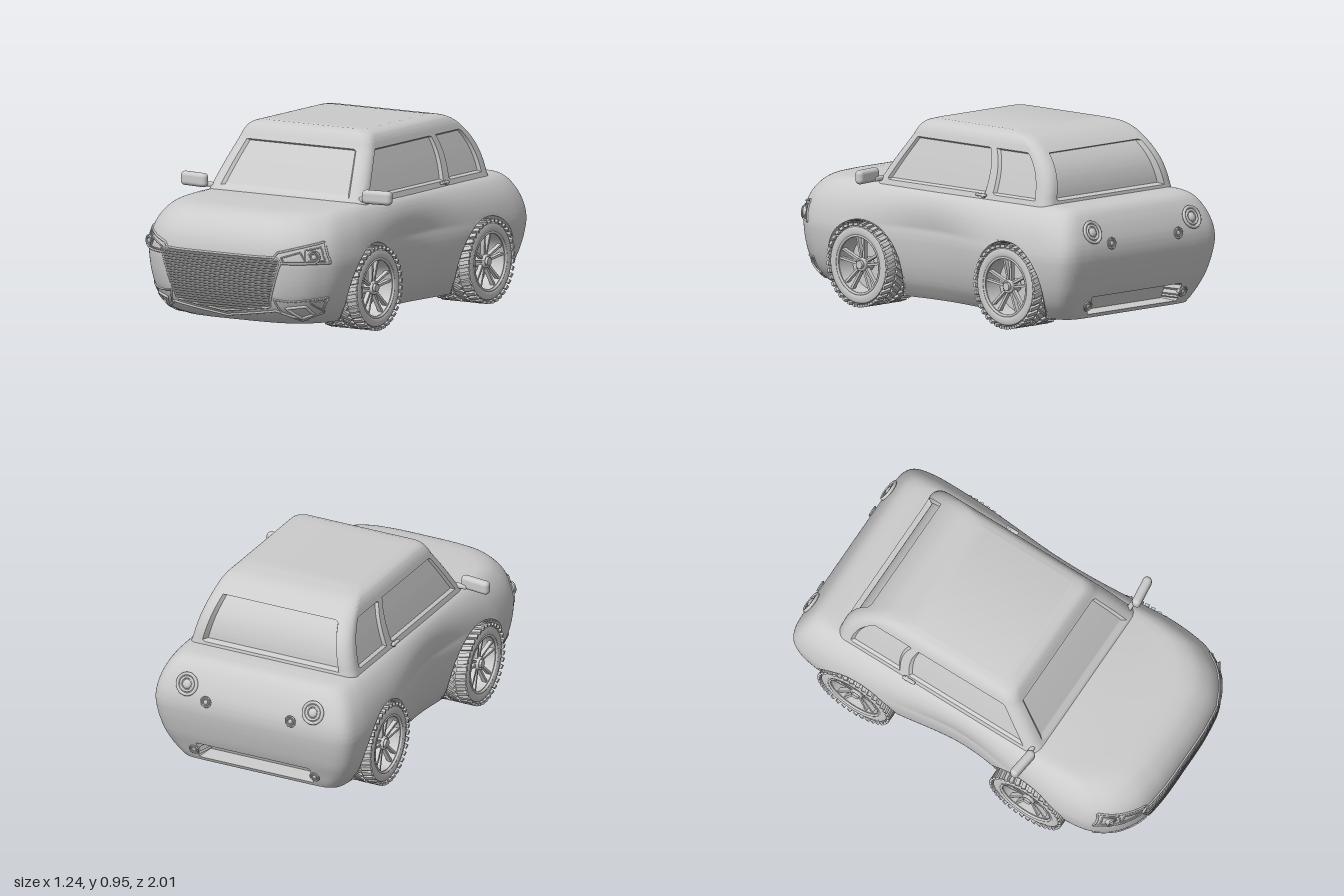
import * as THREE from 'three';
import { mergeGeometries, toCreasedNormals } from 'three/addons/utils/BufferGeometryUtils.js';
import { RoundedBoxGeometry } from 'three/addons/geometries/RoundedBoxGeometry.js';

const grey = new THREE.MeshStandardMaterial({ color: 0xcccccc });
const greyDouble = new THREE.MeshStandardMaterial({ color: 0xcccccc, side: THREE.DoubleSide });

const WHEELS = [0.42, -0.59], WHEEL_Y = 0.21, ARCH_R = 0.226;

// Smooth lookup through rows of [y, halfWidth, zFront, zRear]
function profile(rows) {
  const f = new THREE.CubicInterpolant(rows.map((_, i) => i), rows.flat(), 4, new Float32Array(4));
  return t => [...f.evaluate(t)];
}
const bodyRows = [
  [.06, .455, .82, -.9], [.09, .48, .9, -.915], [.14, .515, .945, -.935], [.2, .54, .97, -.96],
  [.26, .556, .982, -.978], [.32, .566, .988, -.992], [.38, .57, .99, -1], [.44, .562, .985, -.995],
  [.5, .545, .965, -.975], [.55, .52, .93, -.95], [.59, .488, .88, -.92], [.612, .455, .81, -.88], [.62, .42, .72, -.82]];
const cabinRows = [
  [.58, .468, .44, -.775], [.635, .452, .4, -.765], [.69, .438, .363, -.757], [.75, .422, .322, -.738],
  [.805, .406, .283, -.705], [.858, .39, .245, -.655], [.9, .375, .222, -.6], [.93, .35, .197, -.535], [.945, .305, .155, -.44]];
const bodyAt = profile(bodyRows), cabinAt = profile(cabinRows);

// Half plan outline of the body, nose to tail, in fractions of width and length
const plan = new THREE.SplineCurve([
  [0, 1], [.2, 1], [.38, .995], [.6, .975], [.78, .92], [.89, .85], [.965, .76], [1, .6], [1, .45], [1, .3], [1, .15], [1, 0],
  [1, -.15], [1, -.3], [1, -.45], [1, -.6], [1, -.75], [.99, -.86], [.95, -.95], [.86, -.99], [.7, -1], [.5, -1], [.25, -1], [0, -1],
].map(p => new THREE.Vector2(...p)));

// Closed mirrored skin from half rings (front centre to rear centre), capped below and above
function loft(rings) {
  const N = rings[0].length - 1, M = rings.length - 1, R = 2 * N, pos = [], idx = [];
  for (const ring of rings)
    for (let j = 0; j < R; j++) {
      const [x, y, z] = ring[j <= N ? j : R - j];
      pos.push(j <= N ? x : -x, y, z);
    }
  for (let i = 0; i < M; i++)
    for (let j = 0; j < R; j++) {
      const a = i * R + j, b = i * R + (j + 1) % R;
      idx.push(a, b, a + R, b, b + R, a + R);
    }
  for (let j = 0; j < N; j++) {
    const l = j ? R - j : 0, l2 = R - j - 1, T = M * R;
    idx.push(T + j, T + j + 1, T + l, T + j + 1, T + l2, T + l);
    idx.push(j, l, j + 1, j + 1, l, l2);
  }
  const g = new THREE.BufferGeometry();
  g.setAttribute('position', new THREE.Float32BufferAttribute(pos, 3));
  g.setIndex(idx);
  return toCreasedNormals(g, 0.6);
}

function bodyGeometry() {
  const rings = [], rows = (bodyRows.length - 1) * 6, cols = 230;
  for (let i = 0; i <= rows; i++) {
    const [y0, W, zF, zR] = bodyAt(i / 6), ring = [];
    for (let j = 0; j <= cols; j++) {
      const p = plan.getPoint(j / cols);
      let y = y0, z = p.y > 0 ? p.y * zF : -p.y * zR;
      const waist = 0.12 * Math.exp(-((z / 0.35) ** 2)) * THREE.MathUtils.clamp((0.62 - y) / 0.2, 0, 1);
      let x = p.x * W * (1 - waist);
      // wheel wells
      for (const wz of WHEELS) {
        const d = Math.hypot(y - WHEEL_Y, z - wz);
        if (x < 0.3 || d > ARCH_R + 0.011) continue;
        if (d < ARCH_R - 0.011) x = 0.29;
        else {
          if (i) y = Math.max(0.061, WHEEL_Y + (y - WHEEL_Y) * ARCH_R / d);
          z = wz + (z - wz) * ARCH_R / d;
        }
      }
      // slot in the rear bumper
      if (z < -0.88 && x < 0.31 && y > 0.083 && y < 0.165) z += 0.1;
      ring.push([x, y, z]);
    }
    rings.push(ring);
  }
  return loft(rings);
}

function cabinGeometry() {
  const rings = [], r = 0.055, nF = 24, nC = 8, nS = 80;
  for (let i = 0; i <= (cabinRows.length - 1) * 6; i++) {
    const [y, W, zF, zR] = cabinAt(i / 6), ring = [], glass = y > 0.64 && y < 0.855;
    const end = (z, s, k) => [(W - r) * k / nF, y, z - (glass && k < nF - 1 ? s : 0)];
    const corner = (z, a) => [W - r + r * Math.sin(a), y, z + r * Math.cos(a)];
    for (let k = 0; k < nF; k++) ring.push(end(zF, 0.016, k));
    for (let k = 0; k < nC; k++) ring.push(corner(zF - r, k / nC * Math.PI / 2));
    for (let k = 0; k <= nS; k++) {
      const t = k / nS, pane = glass && t > 0.02 && t < 0.97 && (t < 0.64 || t > 0.71);
      ring.push([W - (pane ? 0.014 : 0), y, THREE.MathUtils.lerp(zF - r, zR + r, t)]);
    }
    for (let k = 1; k <= nC; k++) ring.push(corner(zR + r, (1 + k / nC) * Math.PI / 2));
    for (let k = nF - 1; k >= 0; k--) ring.push(end(zR, -0.03, k));
    rings.push(ring);
  }
  return loft(rings);
}

// z of the body skin at (x, y), at the nose or the tail
function skinZ(x, y, rear = false) {
  let a = 0, b = 10;
  for (let n = 0; n < 24; n++) { const m = (a + b) / 2; if (bodyAt(m)[0] < y) a = m; else b = m; }
  const [, W, zF, zR] = bodyAt(a);
  let u = rear ? 1 : 0, v = rear ? 16 / 23 : 7 / 23;
  for (let n = 0; n < 24; n++) { const m = (u + v) / 2; if (plan.getPoint(m).x * W < Math.abs(x)) u = m; else v = m; }
  const f = plan.getPoint(u).y;
  return rear ? -f * zR : f * zF;
}

// Thin bead following the nose through [x, y] points
function bead(points, radius, closed = false, lift = 0.002) {
  const path = [], n = points.length, steps = 8;
  for (let i = 0; i < (closed ? n : n - 1); i++)
    for (let k = 0; k < steps; k++) {
      const a = points[i], b = points[(i + 1) % n], t = k / steps;
      path.push([a[0] + (b[0] - a[0]) * t, a[1] + (b[1] - a[1]) * t]);
    }
  if (!closed) path.push(points[n - 1]);
  const curve = new THREE.CatmullRomCurve3(path.map(([x, y]) => new THREE.Vector3(x, y, skinZ(x, y) + lift)), closed);
  return new THREE.TubeGeometry(curve, path.length * 2, radius, 5, closed);
}

// Round lamp facing +z
function lamp(name, r) {
  const g = new THREE.Group();
  g.name = name;
  g.add(new THREE.Mesh(new THREE.TorusGeometry(r, r * 0.16, 8, 28), grey));
  g.add(new THREE.Mesh(new THREE.TorusGeometry(r * 0.66, r * 0.12, 8, 24), grey));
  const bulb = new THREE.Mesh(new THREE.SphereGeometry(r * 0.45, 16, 10), grey);
  bulb.scale.z = 0.5;
  const housing = new THREE.Mesh(new THREE.CylinderGeometry(r, r, r * 0.8, 28).rotateX(Math.PI / 2).translate(0, 0, -r * 0.4), grey);
  g.add(bulb, housing);
  return g;
}

// Wheel with its axle along x and its outer face at +x
function makeWheel() {
  const g = new THREE.Group();
  const add = (name, geo, mat = grey) => { const m = new THREE.Mesh(geo, mat); m.name = name; g.add(m); };
  const tyre = [[.138, -.115], [.165, -.128], [.19, -.12], [.199, -.1], [.199, .1], [.19, .12], [.165, .128],
    [.15, .122], [.148, .112], [.14, .11], [.135, .03], [.135, -.1], [.138, -.115]].map(p => new THREE.Vector2(...p));
  add('tyre', toCreasedNormals(new THREE.LatheGeometry(tyre, 56).rotateZ(-Math.PI / 2), 0.7), greyDouble);
  const blocks = [];
  for (let k = 0; k < 36; k++)
    for (const [x, turn, off] of [[-.1, -.25, .5], [-.036, .55, 0], [.036, -.55, 0], [.1, .25, .5]])
      blocks.push(new THREE.BoxGeometry(.058, .014, .021).rotateY(turn).translate(x, .203, 0).rotateX((k + off) * Math.PI / 18));
  add('treadBlocks', mergeGeometries(blocks));
  const spokes = [];
  for (let k = 0; k < 5; k++)
    for (const s of [-1, 1])
      spokes.push(new THREE.BoxGeometry(.022, .118, .012).rotateZ(-.12).rotateX(s * .14)
        .translate(.088, .085, s * .017).rotateX(k * Math.PI * 0.4));
  add('spokes', mergeGeometries(spokes));
  const disc = (r, w, x) => new THREE.CylinderGeometry(r, r, w, 32).rotateZ(Math.PI / 2).translate(x, 0, 0);
  add('hub', mergeGeometries([disc(.034, .06, .07), disc(.02, .02, .105), disc(.136, .02, .01)]));
  add('hubRing', new THREE.TorusGeometry(.028, .006, 8, 24).rotateY(Math.PI / 2).translate(.1, 0, 0));
  add('rimLip', new THREE.TorusGeometry(.145, .007, 8, 48).rotateY(Math.PI / 2).translate(.118, 0, 0));
  return g;
}

export function createModel() {
  const car = new THREE.Group();
  car.name = 'car';
  const add = (name, obj) => {
    const o = obj.isBufferGeometry ? new THREE.Mesh(obj, grey) : obj;
    o.name = name;
    car.add(o);
    return o;
  };
  add('body', bodyGeometry());
  add('cabin', cabinGeometry());

  // grille slats, frame and chin
  const slats = [];
  for (let k = 0; k < 21; k++) {
    const y = .142 + k * .0128, w = y < .16 ? (y - .12) / .04 * .265 : .265 + (y - .155) * .31;
    slats.push(bead([[-w, y], [-w / 3, y], [w / 3, y], [w, y]], .0045, false, .0055));
  }
  add('grilleSlats', mergeGeometries(slats));
  add('grilleFrame', bead([[-.325, .412], [.325, .412], [.347, .39], [.27, .16], [0, .12], [-.27, .16], [-.347, .39]], .006, true));
  add('chin', bead([[-.4, .09], [-.3, .14], [0, .096], [.3, .14], [.4, .09]], .007));

  const wheel = makeWheel();
  for (const s of [1, -1]) {
    const side = s > 0 ? 'left' : 'right', m = pts => pts.map(([x, y]) => [x * s, y]);
    // headlight and fog light surrounds
    add(side + 'HeadlightFrame', mergeGeometries([
      bead(m([[.31, .41], [.33, .437], [.505, .485], [.535, .385], [.34, .385]]), .006, true),
      bead(m([[.35, .413], [.43, .44], [.455, .395], [.36, .395]]), .004, true),
      bead(m([[.45, .45], [.5, .462], [.52, .395], [.455, .395]]), .004, true)]));
    const head = add(side + 'Headlight', lamp('', .028));
    head.position.set(s * .485, .417, skinZ(.485, .417) + .008);
    head.rotation.y = s * .5;
    add(side + 'FogLightFrame', mergeGeometries([
      bead(m([[.3, .2], [.38, .19], [.51, .205], [.47, .125], [.38, .085], [.32, .135]]), .005, true),
      bead(m([[.35, .155], [.43, .165], [.44, .12], [.39, .1]]), .008, true),
      bead(m([[.45, .185], [.5, .19], [.475, .14]]), .004, true)]));

    // tail lamps and bumper lamps
    for (const [name, x, y, r] of [['TailLamp', .35, .5, .052], ['ReverseLamp', .235, .435, .026], ['BumperLamp', .335, .125, .024]]) {
      const l = add(side + name, lamp('', r));
      l.position.set(s * x, y, skinZ(x, y, true) - .006);
      l.rotation.set(y > .48 ? .38 : y > .3 ? .12 : -.35, Math.PI, 0, 'YXZ');
      l.rotation.x *= -1;
    }

    // door mirror and handle
    add(side + 'Mirror', new RoundedBoxGeometry(.16, .07, .045, 4, .021).rotateY(s * .12)).position.set(s * .538, .655, .385);
    add(side + 'MirrorStalk', new RoundedBoxGeometry(.07, .025, .025, 2, .01)).position.set(s * .46, .635, .375);
    add(side + 'DoorHandle', new RoundedBoxGeometry(.018, .014, .07, 2, .006)).position.set(s * .468, .63, -.33);
    add(side + 'HandleGrip', new THREE.SphereGeometry(.013, 12, 8)).position.set(s * .466, .627, -.345);

    WHEELS.forEach((z, i) => {
      const w = add(side + (i ? 'RearWheel' : 'FrontWheel'), wheel.clone());
      w.position.set(s * .445, WHEEL_Y, z);
      if (s < 0) w.rotation.y = Math.PI;
    });
  }
  return car;
}
